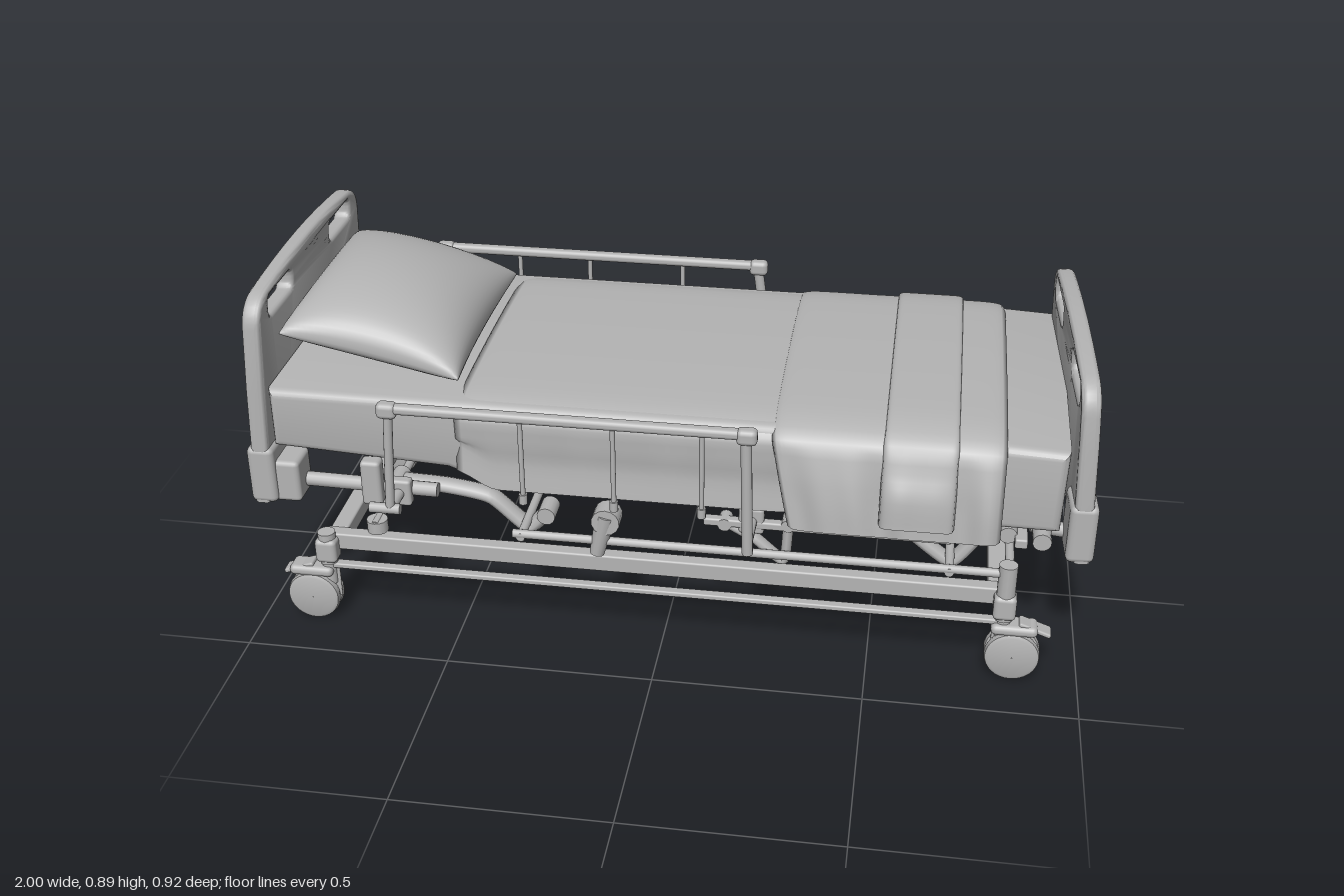
import * as THREE from 'three';
import { toCreasedNormals } from 'three/addons/utils/BufferGeometryUtils.js';
import { RoundedBoxGeometry } from 'three/addons/geometries/RoundedBoxGeometry.js';
import { ParametricGeometry } from 'three/addons/geometries/ParametricGeometry.js';

const V = (x, y, z) => new THREE.Vector3(x, y, z);

export function createModel() {
  const bed = new THREE.Group();
  bed.name = 'hospitalBed';
  const grey = new THREE.MeshStandardMaterial({ color: 0xb4b4b4, side: THREE.DoubleSide });
  grey.name = 'plain grey';

  const add = (name, geo, parent = bed) => {
    const m = new THREE.Mesh(geo, grey);
    m.name = name;
    parent.add(m);
    return m;
  };
  // Box given by its limits on each axis, with softened edges
  const box = (name, x0, x1, y0, y1, z0, z1, r = 0.005, parent = bed) => {
    const g = new RoundedBoxGeometry(x1 - x0, y1 - y0, z1 - z0, 2, r);
    g.translate((x0 + x1) / 2, (y0 + y1) / 2, (z0 + z1) / 2);
    return add(name, g, parent);
  };
  // Straight round rod between two points
  const rod = (name, a, b, r, parent = bed, r2 = r) => {
    const g = new THREE.CylinderGeometry(r2, r, a.distanceTo(b), 14);
    const m = add(name, g, parent);
    m.position.copy(a).lerp(b, 0.5);
    m.quaternion.setFromUnitVectors(V(0, 1, 0), b.clone().sub(a).normalize());
    return m;
  };
  // Bent lever in a plane of constant z, wider across the bed than it is tall
  const lever = (name, z, pts, r) => {
    const path = pts.map(q => V(q[0], q[1], 0));
    const c = new THREE.CatmullRomCurve3(path, false, 'catmullrom', 0.3);
    add(name, new THREE.TubeGeometry(c, 32, r, 10).scale(1, 1, 1.5)).position.z = z;
    for (const q of [pts[0], pts[pts.length - 1]])
      rod(name + 'Pivot', V(q[0], q[1], z - 1.7 * r), V(q[0], q[1], z + 1.7 * r), r * 1.25);
  };
  const slot = (u0, u1, v0, v1) => {
    const p = new THREE.Path(), r = (v1 - v0) * 0.45;
    p.moveTo(u0 + r, v0).lineTo(u1 - r, v0).quadraticCurveTo(u1, v0, u1, v0 + r);
    p.lineTo(u1, v1 - r).quadraticCurveTo(u1, v1, u1 - r, v1).lineTo(u0 + r, v1);
    p.quadraticCurveTo(u0, v1, u0, v1 - r).lineTo(u0, v0 + r).quadraticCurveTo(u0, v0, u0 + r, v0);
    return p;
  };

  // End boards: arched panel with two hand slots, feet at the lower corners
  const endBoard = (name, o) => {
    const g = new THREE.Group();
    g.name = name;
    const { hw, top, low, mid, inner: n } = o, b = 0.012;
    const s = new THREE.Shape(), w = hw - b, t = top - b;
    s.moveTo(-w, low + b).lineTo(-n - 0.02, low + b).quadraticCurveTo(-n, low + b, -n, low + 0.04);
    s.quadraticCurveTo(-n, mid, -n + 0.04, mid).lineTo(n - 0.04, mid).quadraticCurveTo(n, mid, n, low + 0.04);
    s.quadraticCurveTo(n, low + b, n + 0.02, low + b).lineTo(w, low + b).lineTo(w, low + 0.3);
    s.lineTo(w - 0.008, t - 0.08).quadraticCurveTo(w - 0.01, t - 0.025, w - 0.07, t - 0.018);
    s.quadraticCurveTo(0, t + 0.014, -w + 0.07, t - 0.018).quadraticCurveTo(-w + 0.01, t - 0.025, -w + 0.008, t - 0.08);
    s.lineTo(-w, low + 0.3).lineTo(-w, low + b);
    // the bevel narrows a hole, so cut it larger by that much
    const [a, c, v0, v1] = o.slot;
    s.holes.push(slot(a - b, c + b, v0 - b, v1 + b), slot(-c - b, -a + b, v0 - b, v1 + b));
    const d = 0.02;
    const geo = new THREE.ExtrudeGeometry(s, { depth: d, bevelThickness: b, bevelSize: b, bevelSegments: 3, curveSegments: 8 });
    geo.translate(0, 0, -d / 2).rotateY(Math.PI / 2);
    // lean: the top sits nearer to the mattress
    const p = geo.attributes.position;
    for (let i = 0; i < p.count; i++) p.setX(i, p.getX(i) - o.side * (p.getY(i) - low) * 0.045);
    add(name + 'Panel', toCreasedNormals(geo, 0.6), g);
    for (const k of [1, -1]) {
      const za = k > 0 ? n : -hw - 0.002, zb = k > 0 ? hw + 0.002 : -n;
      box(name + 'CornerFoot', -0.038, 0.028, low, low + 0.15, za, zb, 0.015, g).scale.x = o.side;
    }
    bed.add(g);
    return g;
  };
  const head = endBoard('headboard', { hw: 0.382, top: 0.887, low: 0.335, mid: 0.4, inner: 0.26, side: -1, slot: [0.14, 0.3, 0.8, 0.847] });
  head.position.x = -0.968;
  for (const z of [-0.325, 0.325]) box('headCornerBlock', -0.96, -0.875, 0.335, 0.445, z - 0.045, z + 0.045, 0.012);
  const foot = endBoard('footboard', { hw: 0.355, top: 0.798, low: 0.33, mid: 0.395, inner: 0.245, side: 1, slot: [0.11, 0.284, 0.706, 0.759] });
  foot.position.x = 0.957;
  foot.rotation.y = 0.055;
  const card = box('labelPlate', -0.004, 0.004, 0.557, 0.672, 0.232, 0.311, 0.003, foot);
  card.position.x = 0.037;
  card.rotation.z = 0.045;

  // Mattress: side profile swept across the bed
  const prof = [[-0.91, 0.618], [-0.91, 0.505], [-0.5, 0.482], [-0.4, 0.445], [0.9, 0.434], [0.905, 0.603], [0.6, 0.618]];
  const mg = new THREE.ExtrudeGeometry(new THREE.Shape(prof.map(q => new THREE.Vector2(...q))),
    { depth: 0.69, bevelThickness: 0.025, bevelSize: 0.02, bevelSegments: 4 });
  mg.translate(0, 0, -0.345);
  add('mattress', toCreasedNormals(mg, 0.7));
  box('mattressDeck', -0.4, 0.85, 0.402, 0.425, -0.33, 0.33);

  // Cloth: closed cross-section draped over the mattress, hemmed at both ends
  const drape = (name, o) => {
    const f = (u, v, out) => {
      const x = THREE.MathUtils.lerp(o.x0, o.x1, u);
      const hem = Math.sqrt(Math.max(0, 1 - Math.pow(Math.abs(2 * u - 1), 14)));
      const inside = v > 0.5, s = inside ? 4 * v - 3 : 1 - 4 * v;
      const k = Math.sign(s), wave = o.wave * Math.sin(x * 34 + k * 0.8) + o.wave * 0.5 * Math.sin(x * 61);
      const end = o.out + wave, low = o.low(x) + wave * 0.6;
      const pts = [[0, o.top], [0.2, o.top - 0.003], [0.33, o.top - 0.012], [o.edge, o.top - 0.04],
        [o.edge * 0.5 + end * 0.5, o.top - 0.1], [end - 0.008, low + 0.07], [end, low]];
      const q = Math.min(Math.abs(s) * 6, 5.9999), i = Math.floor(q), t = q - i;
      const at = j => pts[Math.max(0, Math.min(6, j))], p0 = at(i - 1), p1 = at(i), p2 = at(i + 1), p3 = at(i + 2);
      const cr = c => 0.5 * (2 * p1[c] + (p2[c] - p0[c]) * t + (2 * p0[c] - 5 * p1[c] + 4 * p2[c] - p3[c]) * t * t
        + (3 * p1[c] - p0[c] - 3 * p2[c] + p3[c]) * t ** 3);
      const z0 = i === 0 ? p1[0] + (p2[0] - p1[0]) * t : cr(0);
      const thick = o.thick * (inside ? 1 : 1 - hem), side = Math.min(1, Math.max(0, (Math.abs(s) - 0.35) * 4));
      const y = cr(1) - thick * (1 - side);
      out.set(x + o.skew * (1 - u) * Math.max(0, o.top - y), y, (k || 1) * (z0 - thick * side));
    };
    add(name, new ParametricGeometry(f, 48, 80));
  };
  drape('bedCover', { x0: -0.48, x1: 0.32, top: 0.653, edge: 0.376, out: 0.384, thick: 0.01, wave: 0.001, skew: 0,
    low: x => 0.425 + 0.04 * THREE.MathUtils.smoothstep(-x, 0.38, 0.48) });
  drape('blanket', { x0: 0.25, x1: 0.785, top: 0.661, edge: 0.392, out: 0.437, thick: 0.02, wave: 0.007, skew: 0.22, low: () => 0.412 });
  drape('blanketFold', { x0: 0.51, x1: 0.68, top: 0.671, edge: 0.4, out: 0.456, thick: 0.022, wave: 0.005, skew: 0, low: () => 0.447 });

  // Pillow: two bulging sheets meeting at a seam with pulled-out corners
  for (const k of [1, -1]) {
    add(k > 0 ? 'pillowTop' : 'pillowUnderside', new ParametricGeometry((u, v, out) => {
      const a = -Math.cos(u * Math.PI), b = k * Math.cos(v * Math.PI);
      const puff = Math.pow((1 - a * a) * (1 - b * b), 0.42);
      out.set(-0.698 + 0.213 * a * (1 - 0.06 * (1 - b * b)), 0.708 - 0.045 * a + puff * (k > 0 ? 0.112 : -0.066),
        0.3 * b * (1 - 0.07 * (1 - a * a)) - 0.003);
    }, 32, 32));
  }

  // Side rails: capped top bar on slim posts, pivoting near the frame
  const sideRail = (name, z, x0, x1, hinge, top, posts) => {
    const g = new THREE.Group();
    g.name = name;
    bed.add(g);
    box('topBar', x0, x1, top - 0.024, top, z - 0.014, z + 0.014, 0.01, g);
    for (const x of [x0 + 0.018, x1 - 0.018]) box('endCap', x - 0.024, x + 0.024, top - 0.036, top + 0.003, z - 0.017, z + 0.017, 0.012, g);
    for (const x of posts) {
      rod('post', V(x, 0.42, z), V(x, top - 0.02, z), 0.006, g);
      rod('postFoot', V(x, 0.41, z), V(x, 0.435, z), 0.01, g);
    }
    rod('headEndPost', V(x0 + 0.02, top - 0.02, z), V(x0 + 0.005, 0.37, z), 0.011, g);
    rod('hingePin', V(x0 - 0.045, 0.365, z), V(x0 + 0.03, 0.365, z), 0.013, g);
    rod('footEndPost', V(x1 - 0.02, top - 0.02, z), V(hinge, 0.32, z), 0.013, g);
    const zi = z * 0.8;
    for (const x of [x0 + 0.005, hinge]) {
      rod('pivotArm', V(x, 0.365, z), V(x, 0.365, zi), 0.014, g);
      box('pivotBlock', x - 0.03, x + 0.03, 0.33, 0.4, zi - 0.015, zi + 0.015, 0.008, g);
    }
  };
  sideRail('leftSideRail', 0.408, -0.645, 0.225, 0.213, 0.65, [-0.315, -0.1, 0.105]);
  sideRail('rightSideRail', -0.408, -0.72, 0.16, 0.19, 0.693, [-0.5, -0.31, -0.06]);

  // Upper frame beneath the deck
  for (const k of [1, -1]) {
    const zl = k * 0.268;
    rod('frameRail', V(-0.88, 0.37, k * 0.31), V(-0.55, 0.365, k * 0.31), 0.018);
    box('frameBeam', 0.1, 0.68, 0.345, 0.365, k * 0.33 - 0.012, k * 0.33 + 0.012);
    rod('lowerRail', V(-0.36, 0.285, k * 0.35), V(0.83, 0.285, k * 0.35), 0.011);
    lever('headLever', zl, [[-0.66, 0.36], [-0.54, 0.355], [-0.43, 0.335], [-0.34, 0.258], [-0.29, 0.305]], 0.018);
    lever('footLever', zl, [[0.46, 0.36], [0.56, 0.345], [0.68, 0.258], [0.74, 0.325], [0.81, 0.355]], 0.017);
    lever('middleLever', k * 0.32, [[0.15, 0.35], [0.22, 0.31], [0.29, 0.255], [0.3, 0.36]], 0.013);
    rod('crankHandle', V(-0.155, 0.25, k * 0.35), V(-0.13, 0.36, k * 0.35), 0.018, bed, 0.026);
    rod('crankHub', V(-0.13, 0.347, k * 0.32), V(-0.13, 0.347, k * 0.37), 0.034);
    box('headBracket', -0.73, -0.68, 0.33, 0.45, k * 0.33 - 0.02, k * 0.33 + 0.02, 0.01);
    rod('bumper', V(-0.7, 0.257, k * 0.34), V(-0.7, 0.288, k * 0.34), 0.026);
    rod('footHinge', V(0.86, 0.375, k * 0.27), V(0.95, 0.365, k * 0.27), 0.018);
    rod('footHingeKnob', V(0.885, 0.37, k * 0.22), V(0.885, 0.37, k * 0.34), 0.022);
  }
  for (const x of [-0.72, 0.84]) box('frameCrossBeam', x - 0.015, x + 0.015, 0.335, 0.36, -0.32, 0.32);
  for (const x of [-0.7, -0.34, 0.68, 0.82]) rod('torqueRod', V(x, 0.28, -0.36), V(x, 0.28, 0.36), 0.011);

  // Base frame, brake linkage and twin-wheel casters
  for (const k of [1, -1]) {
    box('baseRail', -0.84, 0.82, 0.19, 0.235, k * 0.325 - 0.018, k * 0.325 + 0.018);
    box('brakeLinkage', -0.84, 0.82, 0.146, 0.16, k * 0.35 - 0.012, k * 0.35 + 0.012, 0.004);
    for (const e of [-1, 1]) {
      const x = e < 0 ? -0.83 : 0.815, wx = e < 0 ? -0.872 : 0.842, z = k * 0.35;
      rod('casterColumn', V(x, 0.16, z), V(x, e < 0 ? 0.245 : 0.31, z), 0.022);
      box('casterSocket', x - 0.027, x + 0.027, 0.165, 0.23, z - 0.025, z + 0.025, 0.012);
      rod('casterStem', V(x, 0.1, z), V(x, 0.17, z), 0.018);
      box('casterFork', Math.min(x, wx) - 0.025, Math.max(x, wx) + 0.025, 0.06, 0.145, z - 0.004, z + 0.004, 0.003);
      box('casterHood', wx - 0.055, wx + 0.055, 0.125, 0.152, z - 0.029, z + 0.029, 0.012);
      for (const w of [-0.0155, 0.0155]) {
        const pts = [[0.001, -0.013], [0.055, -0.013], [0.063, -0.009], [0.066, 0], [0.063, 0.009], [0.055, 0.013], [0.001, 0.013]];
        const wheel = add('casterWheel', toCreasedNormals(new THREE.LatheGeometry(pts.map(q => new THREE.Vector2(...q)), 32).rotateX(Math.PI / 2), 0.7));
        wheel.position.set(wx, 0.066, z + w);
      }
      const pedal = box('brakePedal', -0.04, 0.04, -0.006, 0.006, -0.02, 0.02, 0.005);
      pedal.position.set(x + e * 0.075, 0.142, z);
      pedal.rotation.z = -e * 0.35;
    }
  }
  for (const x of [-0.81, 0.795]) box('baseCrossBeam', x - 0.022, x + 0.022, 0.19, 0.235, -0.31, 0.31);
  return bed;
}
